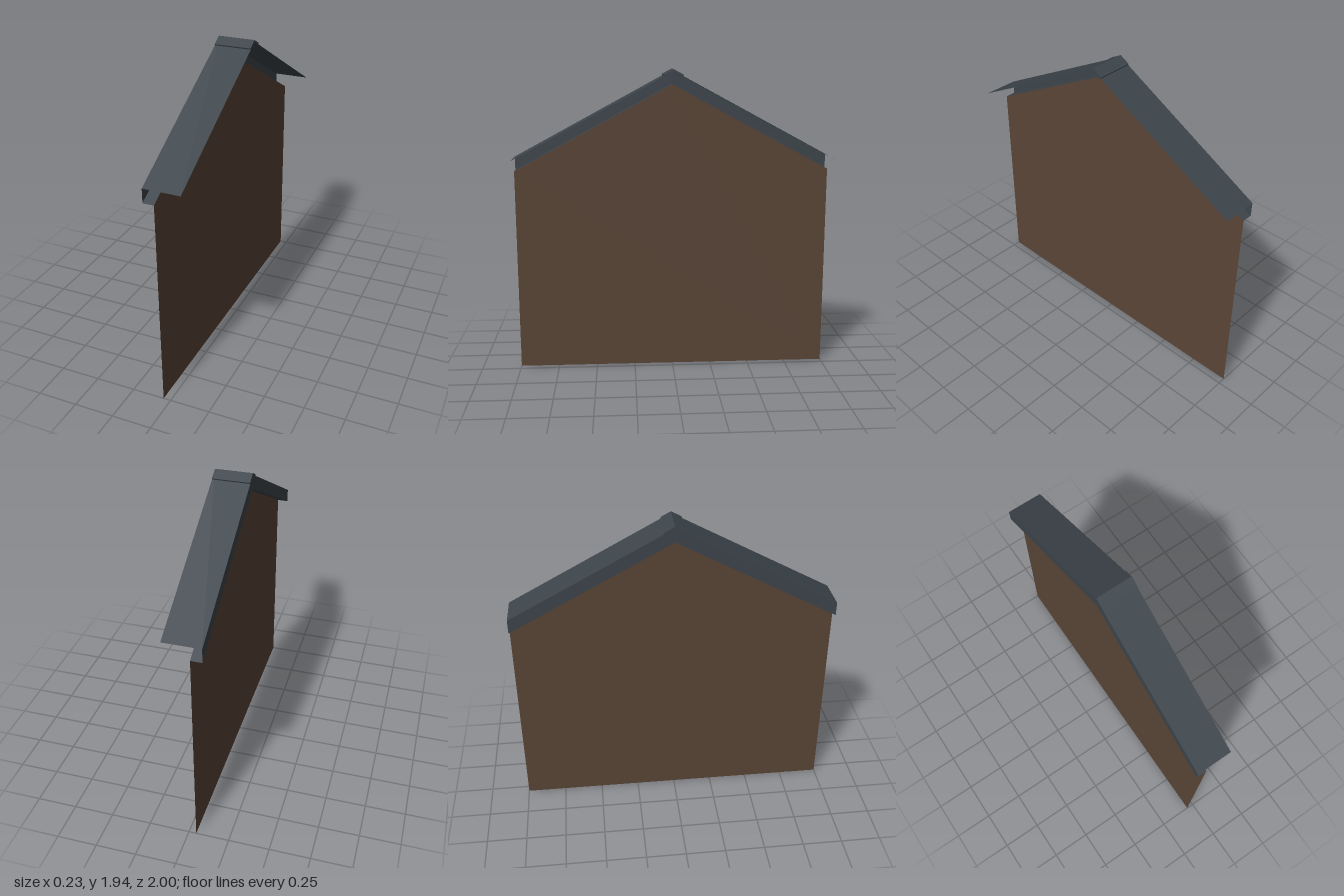
import * as THREE from 'three';

const HALF_WIDTH = 0.114; // roof half width along x
const WALL_X = -0.046;
const EAVE = 1.3, PEAK = 1.84; // top edge of the wall
const RISE = 0.087; // roof height above the wall top

// Flat outline given as [z, y] points, standing at a fixed x
function panel(points, x) {
  const shape = new THREE.Shape(points.map(([z, y]) => new THREE.Vector2(z, y)));
  return new THREE.ShapeGeometry(shape).rotateY(-Math.PI / 2).translate(x, 0, 0);
}

// Open gabled sheet following the roof line from x0 to x1
function gableSheet(lift, x0, x1) {
  const line = [[-1, EAVE + lift], [0, PEAK + lift], [1, EAVE + lift]];
  const pos = [];
  for (let i = 0; i < 2; i++) {
    const [za, ya] = line[i], [zb, yb] = line[i + 1];
    pos.push(x0, ya, za, x0, yb, zb, x1, yb, zb);
    pos.push(x0, ya, za, x1, yb, zb, x1, ya, za);
  }
  const geo = new THREE.BufferGeometry();
  geo.setAttribute('position', new THREE.Float32BufferAttribute(pos, 3));
  geo.computeVertexNormals();
  return geo;
}

export function createModel() {
  const group = new THREE.Group();
  const wallMat = new THREE.MeshStandardMaterial({ name: 'brownWall', color: 0x5a4536, side: THREE.DoubleSide });
  const roofMat = new THREE.MeshStandardMaterial({ name: 'slateRoof', color: 0x3d454b, side: THREE.DoubleSide });

  const add = (name, geo, mat) => {
    const mesh = new THREE.Mesh(geo, mat);
    mesh.name = name;
    group.add(mesh);
  };

  // Thin gable wall
  add('gableWall', panel([[-1, 0], [1, 0], [1, EAVE], [0, PEAK], [-1, EAVE]], WALL_X), wallMat);

  // Roof slopes, overhanging both sides of the wall
  add('roofSlopes', gableSheet(RISE, -HALF_WIDTH, HALF_WIDTH), roofMat);

  // Outer fascia and the soffit joining it to the wall
  add('fascia', panel([
    [-1, EAVE], [0, PEAK], [1, EAVE],
    [1, EAVE + RISE], [0, PEAK + RISE], [-1, EAVE + RISE],
  ], -HALF_WIDTH), roofMat);
  add('soffit', gableSheet(0, -HALF_WIDTH, WALL_X), roofMat);

  // Ridge cap with edges square to the slopes
  const cap = new THREE.Shape([
    [0, 1.937], [-0.063, 1.903], [-0.056, 1.889], [0, 1.92], [0.056, 1.889], [0.063, 1.903],
  ].map(([z, y]) => new THREE.Vector2(z, y)));
  const capGeo = new THREE.ExtrudeGeometry(cap, { depth: HALF_WIDTH * 2, bevelEnabled: false });
  capGeo.translate(0, 0, -HALF_WIDTH).rotateY(-Math.PI / 2);
  add('ridgeCap', capGeo, roofMat);

  return group;
}
